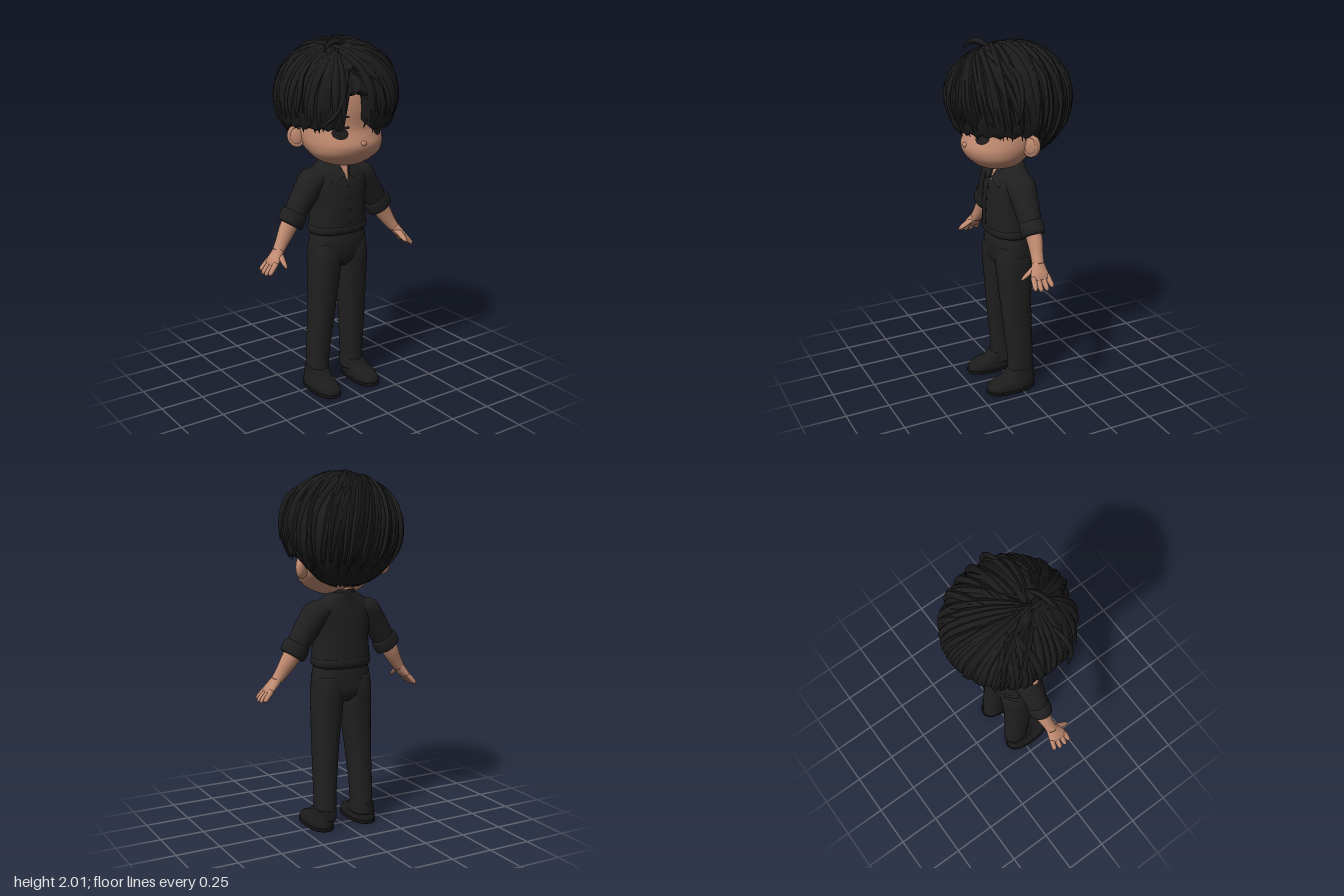
import * as THREE from 'three';
import { mergeGeometries } from 'three/addons/utils/BufferGeometryUtils.js';

const mat = (name, color, side = THREE.FrontSide) => {
  const m = new THREE.MeshStandardMaterial({ color, side });
  m.name = name;
  return m;
};
const spow = (v, p) => Math.sign(v) * Math.abs(v) ** p;
const smooth = THREE.MathUtils.smoothstep;

// Closed skin over rings [x, y, z, halfWidth, halfDepth, tilt]; rows are smoothed between rings
function loft(rings, { s = 1, sub = 4, p = 2, seg = 32 } = {}) {
  const rows = [];
  for (let i = 0; i < rings.length - 1; i++) {
    const [a, b, c, d] = [-1, 0, 1, 2].map(k => rings[Math.min(rings.length - 1, Math.max(0, i + k))]);
    for (let k = 0; k < sub; k++) {
      const t = k / sub;
      rows.push(b.map((v, j) => v + 0.5 * t * (c[j] - a[j] + t * (2 * a[j] - 5 * v + 4 * c[j] - d[j] + t * (3 * (v - c[j]) + d[j] - a[j])))));
    }
  }
  rows.push(rings[rings.length - 1]);
  const pos = [], idx = [];
  for (const [x, y, z, a, b, t] of rows) for (let i = 0; i < seg; i++) {
    const q = i / seg * Math.PI * 2, u = a * spow(Math.cos(q), 2 / p);
    pos.push(s * (x + u * Math.cos(t)), y + u * Math.sin(t), z + b * spow(Math.sin(q), 2 / p));
  }
  const last = rows.length - 1, base = rows.length * seg;
  for (const r of [rows[0], rows[last]]) pos.push(s * r[0], r[1], r[2]);
  for (let i = 0; i < seg; i++) {
    const n = (i + 1) % seg;
    for (let r = 0; r < last; r++) {
      const a = r * seg + i, b = r * seg + n;
      idx.push(a, a + seg, b, b, a + seg, b + seg);
    }
    idx.push(base, i, n, base + 1, last * seg + n, last * seg + i);
  }
  // turn the skin outward when its enclosed volume is negative
  const P = i => new THREE.Vector3().fromArray(pos, i * 3);
  let vol = 0;
  for (let i = 0; i < idx.length; i += 3) vol += P(idx[i]).dot(P(idx[i + 1]).cross(P(idx[i + 2])));
  if (vol < 0) idx.reverse();
  const g = new THREE.BufferGeometry();
  g.setAttribute('position', new THREE.Float32BufferAttribute(pos, 3));
  g.setIndex(idx);
  g.computeVertexNormals();
  return g;
}
// Level ring from height, centre x, half width, front z and back z
const level = ([y, x, a, zf, zb]) => [x, y, (zf + zb) / 2, a, (zf - zb) / 2, 0];

// Move every vertex by a rule
function bend(g, rule) {
  const p = g.attributes.position, v = new THREE.Vector3();
  for (let i = 0; i < p.count; i++) {
    rule(v.fromBufferAttribute(p, i), i);
    p.setXYZ(i, v.x, v.y, v.z);
  }
  g.computeVertexNormals();
  return g;
}
// Front surface depth of a table of level rings
function frontZ(table, x, y) {
  let i = 0;
  while (i < table.length - 2 && table[i + 1][0] < y) i++;
  const A = table[i], B = table[i + 1], t = (y - A[0]) / (B[0] - A[0]);
  const [, , a, zf, zb] = A.map((v, k) => v + (B[k] - v) * t);
  return (zf + zb) / 2 + (zf - zb) / 2 * Math.sqrt(Math.max(0, 1 - (x / a) ** 2));
}

const HEAD = [[1.325, 0, 0.05, 0.13, 0], [1.335, 0, 0.1, 0.165, -0.03], [1.36, 0, 0.155, 0.205, -0.06],
  [1.4, 0, 0.203, 0.243, -0.09], [1.45, 0, 0.228, 0.26, -0.17], [1.5, 0, 0.238, 0.243, -0.21], [1.55, 0, 0.242, 0.228, -0.24],
  [1.65, 0, 0.245, 0.232, -0.25], [1.75, 0, 0.23, 0.215, -0.23], [1.85, 0, 0.17, 0.14, -0.18], [1.9, 0, 0.06, 0.05, -0.08]];
const TORSO = [[0.925, 0, 0.15, 0.1, -0.095], [0.945, 0, 0.168, 0.125, -0.11], [1, 0, 0.167, 0.13, -0.112],
  [1.1, 0, 0.162, 0.128, -0.105], [1.2, 0, 0.175, 0.115, -0.1], [1.27, 0, 0.172, 0.09, -0.09],
  [1.31, 0, 0.125, 0.065, -0.085], [1.345, 0, 0.075, 0.05, -0.08]];

// Lower hairline height around the head (angle 0 is the front, positive toward +x)
function hairline(q) {
  const s = Math.sin(q), f = Math.abs(q);
  const gap = f < 1.2 ? smooth(s, -0.5, -0.38) * (1 - smooth(s, -0.1, -0.01)) : 0;
  const jag = 0.02 * Math.abs(((q * 4.5) % 1 + 1) % 1 - 0.5) * 2;
  return 1.535 + jag + 0.2 * gap - 0.165 * smooth(f, 1.65, 2.05);
}
const HR = new THREE.Vector3(0.325, 0.318, 0.342), HC = new THREE.Vector3(0, 1.68, 0);
const onHair = (dir, k) => dir.clone().normalize().multiply(HR).multiplyScalar(k).add(HC);

function hairShell() {
  const g = new THREE.PlaneGeometry(1, 1, 260, 44), uv = g.attributes.uv;
  return bend(g, (v, i) => {
    const q = (uv.getX(i) * 2 - 1) * Math.PI, t = 1 - uv.getY(i);
    const end = Math.acos(Math.max(-0.98, (hairline(q) - HC.y) / HR.y)), phi = end * Math.min(1, t / 0.92);
    const d = new THREE.Vector3(Math.sin(phi) * Math.sin(q), Math.cos(phi), Math.sin(phi) * Math.cos(q));
    // ridges fan out from the parting, which is a shallow groove
    const ang = Math.atan2(d.x + 0.3, d.z - 0.3), far = smooth(Math.hypot(d.x + 0.3, d.z - 0.3), 0.05, 0.4);
    let k = 0.985 + far * 0.014 * (Math.abs(Math.sin(ang * 14 + phi * 2.5)) - 0.5);
    if (d.z > -0.1 && d.y > 0) k -= 0.035 * Math.exp(-(((d.x + 0.3) / 0.05) ** 2));
    k -= 0.25 * Math.max(0, (t - 0.92) / 0.08);
    v.copy(onHair(d, k));
  });
}
// Tapered strand along a curve
function strand(pts, r) {
  const c = new THREE.CatmullRomCurve3(pts), n = 14, g = new THREE.TubeGeometry(c, n, r, 6);
  return bend(g, (v, i) => {
    const u = Math.floor(i / 7) / n;
    v.lerp(c.getPointAt(u), 1 - Math.max(0.06, Math.sin(Math.PI * (0.1 + 0.9 * u)) ** 0.7));
  });
}
function hairLocks() {
  let seed = 7;
  const rnd = () => (seed = (seed * 16807) % 2147483647) / 2147483647;
  const out = [], N = 84;
  for (let i = 0; i < N; i++) {
    const q = ((i + rnd() * 0.6) / N * 2 - 1) * Math.PI, s = Math.sin(q);
    if (Math.abs(q) < 1.2 && s > -0.46 && s < -0.02) continue;
    const y = Math.max(hairline(q), 1.46) - 0.02 + rnd() * 0.04, h = (y - HC.y) / HR.y, w = Math.sqrt(1 - h * h);
    const end = new THREE.Vector3(w * s, h, w * Math.cos(q));
    const z0 = Math.cos(q) > 0 ? 0.1 + 0.5 * rnd() : 0.2 - 0.5 * rnd();
    const start = new THREE.Vector3(-0.3 + 0.04 * Math.sign(s + 0.2), 0.85, z0);
    const side = new THREE.Vector3(s * 0.35, 0.25, Math.cos(q) * 0.35);
    const pts = [0, 0.2, 0.4, 0.6, 0.8, 1].map(t =>
      onHair(start.clone().lerp(end, t).addScaledVector(side, Math.sin(t * Math.PI)), 0.965 + 0.03 * t * rnd()));
    out.push(strand(pts, 0.016 + 0.01 * rnd()));
  }
  // loose curls: temples, crown and fringe
  const loose = [
    [[-0.22, 1.9, 0.1], [-0.3, 1.83, 0.13], [-0.325, 1.72, 0.14], [-0.335, 1.61, 0.12]],
    [[0.2, 1.92, 0.1], [0.285, 1.86, 0.08], [0.325, 1.75, 0.08], [0.322, 1.63, 0.1]],
    [[-0.02, 1.97, 0.1], [-0.09, 1.99, 0.13], [-0.16, 1.975, 0.15], [-0.19, 1.94, 0.17]],
    [[-0.1, 1.86, 0.25], [-0.15, 1.75, 0.29], [-0.19, 1.64, 0.27], [-0.27, 1.56, 0.23]],
    [[-0.09, 1.86, 0.26], [-0.02, 1.78, 0.31], [0.0, 1.67, 0.31], [-0.015, 1.55, 0.27]],
    [[-0.08, 1.87, 0.26], [0.03, 1.79, 0.32], [0.07, 1.67, 0.325], [0.05, 1.53, 0.29]],
    [[-0.1, 1.86, 0.25], [-0.14, 1.76, 0.28], [-0.15, 1.66, 0.28], [-0.17, 1.54, 0.24]]];
  for (const l of loose) out.push(strand(l.map(p => new THREE.Vector3(...p)), 0.016));
  return mergeGeometries(out);
}

export function createModel() {
  const root = new THREE.Group();
  root.name = 'standingFigure';
  const skin = mat('skin', 0xc08a70), hair = mat('hair', 0x1b1b1c, THREE.DoubleSide);
  const shirt = mat('shirt', 0x1f1f20), trousers = mat('trousers', 0x202021), leather = mat('shoeLeather', 0x1c1c1d);
  const sole = mat('shoeSole', 0x141414), ink = mat('eyeInk', 0x1d1a1a, THREE.DoubleSide), patch = mat('skinPatch', 0xc08a70, THREE.DoubleSide);
  const add = (name, g, m) => {
    const mesh = new THREE.Mesh(g, m);
    mesh.name = name;
    root.add(mesh);
    return mesh;
  };

  // Head and neck
  add('head', loft(HEAD.map(level), { seg: 48 }), skin);
  add('neck', new THREE.CylinderGeometry(0.058, 0.062, 0.16, 28).translate(0, 1.3, -0.01), skin);
  add('nose', new THREE.SphereGeometry(0.018, 16, 12).scale(1, 0.8, 0.7).translate(0, 1.465, 0.256), skin);
  add('hairShell', hairShell(), hair);
  add('hairLocks', hairLocks(), hair);

  // Shirt body, collar band, open neck, placket
  add('shirtBody', loft(TORSO.map(level), { p: 2.3, seg: 40 }), shirt);
  add('shirtHem', loft([[0.93, 0, 0.155, 0.11, -0.1], [0.945, 0, 0.172, 0.13, -0.113], [0.975, 0, 0.172, 0.133, -0.115], [0.985, 0, 0.16, 0.12, -0.105]].map(level), { p: 2.3 }), shirt);
  const band = new THREE.CylinderGeometry(0.066, 0.08, 0.07, 28, 1, true, 0.55, Math.PI * 2 - 1.1).translate(0, 1.33, -0.012);
  add('collarBand', band, hair);
  const vee = new THREE.Shape([[-0.035, 1.345], [0, 1.235], [0.035, 1.345]].map(p => new THREE.Vector2(...p)));
  add('openNeck', bend(new THREE.ShapeGeometry(vee), v => { v.z = frontZ(TORSO, 0, v.y) + 0.007; }), patch);
  add('placket', bend(new THREE.PlaneGeometry(0.034, 0.27, 1, 16).translate(0, 1.105, 0), v => { v.z = frontZ(TORSO, v.x, v.y) + 0.006; }), shirt);
  for (let i = 0; i < 4; i++) {
    const y = 1.01 + i * 0.065;
    add('button', new THREE.SphereGeometry(0.007, 10, 8).scale(1, 1, 0.5).translate(0, y, frontZ(TORSO, 0, y) + 0.008), shirt);
  }

  // Trouser hips
  add('trouserHips', loft([[0.735, 0, 0.07, 0.07, -0.06], [0.77, 0, 0.145, 0.1, -0.09], [0.82, 0, 0.174, 0.113, -0.1],
    [0.89, 0, 0.17, 0.118, -0.1], [0.95, 0, 0.155, 0.11, -0.095]].map(level), { p: 2.3 }), trousers);

  for (const s of [1, -1]) {
    const side = s > 0 ? 'left' : 'right';
    const put = (name, rings, m, o = {}) => add(side + name, loft(rings, { s, ...o }), m);

    // Face details
    const plate = (name, g) => add(side + name, bend(g, v => { v.z = frontZ(HEAD, v.x, v.y) + 0.007; }), ink);
    plate('Eye', new THREE.CircleGeometry(1, 28).scale(0.038, 0.031, 1).translate(s * 0.12, 1.523, 0));
    plate('UpperLash', new THREE.PlaneGeometry(0.105, 0.014, 12, 1).rotateZ(-s * 0.08).translate(s * 0.125, 1.55, 0));
    plate('Eyebrow', new THREE.PlaneGeometry(0.085, 0.01, 10, 1).rotateZ(s * 0.08).translate(s * 0.115, 1.612, 0));
    add(side + 'Ear', new THREE.SphereGeometry(1, 24, 18).scale(0.05, 0.062, 0.026).rotateY(s * 0.6).translate(s * 0.247, 1.49, -0.015), skin);
    add(side + 'EarRim', new THREE.TorusGeometry(0.042, 0.011, 10, 28).scale(0.9, 1.2, 1).rotateY(s * 0.6).translate(s * 0.25, 1.492, -0.006), skin);

    // Collar flap
    const flap = new THREE.Shape([[0.034, 1.35], [0.085, 1.335], [0.092, 1.225], [0.012, 1.262]].map(([x, y]) => new THREE.Vector2(s * x, y)));
    add(side + 'CollarFlap', bend(new THREE.ExtrudeGeometry(flap, { depth: 0.012, bevelEnabled: false }), v => {
      v.z += frontZ(TORSO, 0, v.y) + 0.004 - v.x * v.x * (2 + (v.y - 1.22) * 40);
    }), shirt);

    // Sleeve, rolled cuff, forearm
    put('Sleeve', [[0.09, 1.27, -0.005, 0.045, 0.07, 1], [0.15, 1.24, -0.003, 0.075, 0.08, 0.72], [0.2, 1.175, 0, 0.073, 0.073, 0.58],
      [0.25, 1.1, 0, 0.067, 0.064, 0.56], [0.285, 1.045, 0, 0.064, 0.058, 0.56]], shirt);
    put('Cuff', [[0.268, 1.075, 0, 0.06, 0.054, 0.56], [0.272, 1.068, 0, 0.075, 0.063, 0.56], [0.29, 1.04, 0, 0.078, 0.064, 0.56],
      [0.305, 1.014, 0, 0.076, 0.062, 0.56], [0.308, 1.009, 0, 0.056, 0.05, 0.56]], shirt, { sub: 2 });
    put('Forearm', [[0.29, 1.04, 0, 0.053, 0.045, 0.56], [0.33, 0.975, 0.002, 0.047, 0.04, 0.57], [0.365, 0.92, 0.01, 0.037, 0.034, 0.58],
      [0.395, 0.878, 0.018, 0.03, 0.034, 0.62]], skin);

    // Hand
    put('Palm', [[0.385, 0.892, 0.016, 0.03, 0.032, 0.6], [0.41, 0.86, 0.024, 0.027, 0.044, 0.65], [0.435, 0.832, 0.028, 0.022, 0.053, 0.7],
      [0.452, 0.813, 0.03, 0.012, 0.048, 0.7]], skin);
    [-0.012, 0.016, 0.044, 0.068].forEach((z, i) => {
      const l = [0.85, 1, 1, 0.88][i], w = (z - 0.03) * 0.25;
      put('Finger', [0, 0.5, 0.85, 1].map((t, k) =>
        [0.435 + 0.058 * t * l, 0.832 - 0.065 * t * l, z + w * t, [0.015, 0.014, 0.012, 0.004][k], [0.015, 0.0145, 0.012, 0.004][k], 0.7]), skin, { seg: 12 });
    });
    put('Thumb', [[0.392, 0.875, 0.03, 0.02, 0.018, 0.3], [0.4, 0.85, 0.07, 0.018, 0.02, 0.3], [0.405, 0.828, 0.1, 0.015, 0.017, 0.3],
      [0.407, 0.812, 0.122, 0.005, 0.006, 0.3]], skin, { seg: 14 });

    // Trouser leg
    put('TrouserLeg', [[0.06, 0.118, 0.058, 0.06, -0.098], [0.1, 0.118, 0.058, 0.055, -0.098], [0.2, 0.117, 0.06, 0.056, -0.094],
      [0.4, 0.108, 0.068, 0.078, -0.088], [0.55, 0.1, 0.076, 0.092, -0.087], [0.7, 0.091, 0.085, 0.106, -0.093],
      [0.8, 0.088, 0.087, 0.112, -0.098], [0.88, 0.085, 0.08, 0.1, -0.09]].map(level), trousers, { p: 2.3 });

    // Shoe
    put('ShoeUpper', [[0.012, 0.136, 0.07, 0.195, -0.096], [0.04, 0.136, 0.071, 0.192, -0.096], [0.062, 0.134, 0.066, 0.16, -0.096],
      [0.085, 0.128, 0.062, 0.095, -0.098], [0.12, 0.123, 0.06, 0.06, -0.098]].map(level), leather, { p: 2.4 });
    put('ShoeSole', [[0, 0.136, 0.071, 0.196, -0.097], [0.004, 0.136, 0.073, 0.2, -0.1], [0.016, 0.136, 0.073, 0.2, -0.1],
      [0.02, 0.136, 0.07, 0.196, -0.097]].map(level), sole, { p: 2.4, sub: 1 });
  }
  return root;
}
